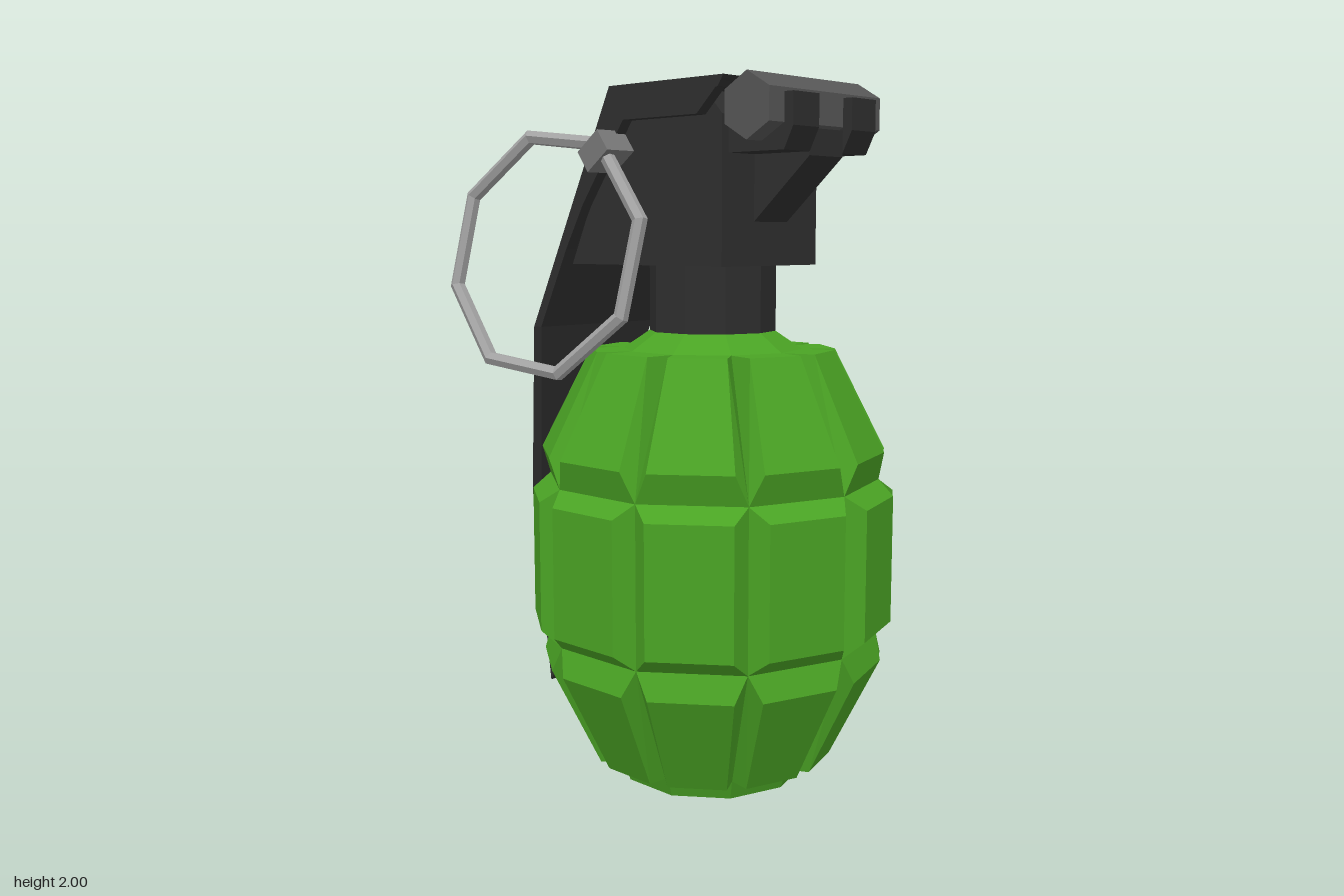
import * as THREE from 'three';
import { ConvexGeometry } from 'three/addons/geometries/ConvexGeometry.js';

const AXIS_Z = 0.093; // the round body sits slightly forward

function material(name, color) {
  const m = new THREE.MeshStandardMaterial({ color, flatShading: true });
  m.name = name;
  return m;
}

// Side profile given as [z, y] points, extruded to a width along x
function sideProfile(points, width, centreX = 0) {
  const shape = new THREE.Shape(points.map(([z, y]) => new THREE.Vector2(z, y)));
  const g = new THREE.ExtrudeGeometry(shape, { depth: width, bevelEnabled: false });
  g.rotateY(-Math.PI / 2);
  g.translate(centreX + width / 2, 0, 0);
  return g;
}

export function createModel() {
  const green = material('body green', 0x4aa324);
  const black = material('lever black', 0x2e2e2e);
  const darkGrey = material('bar grey', 0x565656);
  const midGrey = material('pin grey', 0x787878);
  const lightGrey = material('ring grey', 0xa3a3a3);

  const model = new THREE.Group();
  function add(name, geometry, mat, parent = model) {
    const mesh = new THREE.Mesh(geometry, mat);
    mesh.name = name;
    parent.add(mesh);
    return mesh;
  }

  // Ten-sided core whose corners form the groove bottoms
  const body = new THREE.Group();
  body.name = 'body';
  body.position.z = AXIS_Z;
  model.add(body);
  const coreProfile = [[0, 0], [0.273, 0], [0.295, 0.06], [0.485, 0.43], [0.485, 0.885],
    [0.26, 1.26], [0.178, 1.315], [0, 1.315]].map(([r, y]) => new THREE.Vector2(r, y));
  add('core', new THREE.LatheGeometry(coreProfile, 10), green, body);

  // Raised panels: three rows of ten bevelled blocks
  // base: [y, core radius], face: [y, distance from axis, half width]
  const half = Math.PI / 10;
  const rows = [
    { name: 'lowerPanel', base: [[0.06, 0.295], [0.43, 0.485]], face: [[0.06, 0.345, 0.083], [0.355, 0.487, 0.117]] },
    { name: 'middlePanel', base: [[0.43, 0.485], [0.885, 0.485]], face: [[0.475, 0.516, 0.118], [0.845, 0.516, 0.118]] },
    { name: 'upperPanel', base: [[0.885, 0.485], [1.26, 0.26]], face: [[0.97, 0.487, 0.117], [1.26, 0.345, 0.08]] },
  ];
  for (const row of rows) {
    const corners = [];
    for (const s of [-1, 1]) {
      for (const [y, r] of row.base) corners.push(new THREE.Vector3(s * r * Math.sin(half), y, r * Math.cos(half)));
      for (const [y, d, w] of row.face) corners.push(new THREE.Vector3(s * w, y, d));
    }
    const panel = new ConvexGeometry(corners);
    for (let k = 0; k < 10; k++) add(row.name, panel, green, body).rotation.y = half * (2 * k + 1);
  }

  // Neck and head
  const neck = new THREE.CylinderGeometry(0.183, 0.183, 0.24, 10);
  neck.translate(0, 1.41, AXIS_Z);
  add('neck', neck, black);
  add('head', sideProfile([[0.31, 1.5], [0.31, 1.9], [0.25, 1.965], [-0.065, 1.965], [-0.285, 1.5]], 0.4), black);

  // Safety lever: stations of outer point, inner point and half width
  const lever = new THREE.Group();
  lever.name = 'lever';
  model.add(lever);
  const stations = [
    [0.345, 1.995, 0.325, 1.965, 0.235],
    [-0.085, 1.995, -0.06, 1.965, 0.235],
    [-0.425, 1.31, -0.392, 1.31, 0.235],
    [-0.577, 0.77, -0.535, 0.77, 0.125],
    [-0.5, 0.155, -0.467, 0.205, 0.125],
  ];
  const ring4 = ([zo, yo, zi, yi, w]) => [-w, w].flatMap((x) =>
    [new THREE.Vector3(x, yo, zo), new THREE.Vector3(x, yi, zi)]);
  for (let i = 0; i < stations.length - 1; i++) {
    add('leverSection', new ConvexGeometry([...ring4(stations[i]), ...ring4(stations[i + 1])]), black, lever);
  }
  const flange = [[0.34, 1.985], [0.25, 1.9], [-0.03, 1.9], [-0.2, 1.67], [-0.41, 1.31], [-0.425, 1.31], [-0.085, 1.985]];
  for (const s of [-1, 1]) add('leverFlange', sideProfile(flange, 0.035, s * 0.2175), black, lever);

  // Front hinge: wedge bracket, two hooks and a hexagonal bar
  add('bracket', sideProfile([[0.31, 1.62], [0.5, 1.79], [0.5, 1.86], [0.31, 1.86]], 0.14), black);
  const hook = [[0.3, 1.8], [0.5, 1.8], [0.53, 1.86], [0.53, 1.945], [0.49, 1.945], [0.49, 1.87], [0.3, 1.87]];
  for (const s of [-1, 1]) add('hook', sideProfile(hook, 0.105, s * 0.1225), black);
  const hex = Array.from({ length: 6 }, (_, i) => {
    const a = Math.PI / 6 + (i * Math.PI) / 3;
    return [0.425 + 0.087 * Math.cos(a), 1.912 + 0.087 * Math.sin(a)];
  });
  add('hingeBar', sideProfile(hex, 0.47), darkGrey);

  // Cross pin through the head
  const pin = add('crossPin', new THREE.BoxGeometry(0.565, 0.07, 0.1), midGrey);
  pin.position.set(-0.02, 1.815, -0.083);
  pin.rotation.x = -Math.atan2(0.058, 0.08);

  // Tilted eight-sided pull ring
  const ringPoints = Array.from({ length: 8 }, (_, i) => {
    const a = THREE.MathUtils.degToRad(29 + 45 * i);
    const u = 0.348 * Math.cos(a), v = 0.348 * Math.sin(a);
    return new THREE.Vector3(-0.34 + 0.155 * v - 0.125 * u, 1.53 + v, -0.25 - u);
  });
  const ringCurve = new THREE.CatmullRomCurve3(ringPoints, true);
  add('pullRing', new THREE.TubeGeometry(ringCurve, 8, 0.022, 6, true), lightGrey);

  return model;
}
